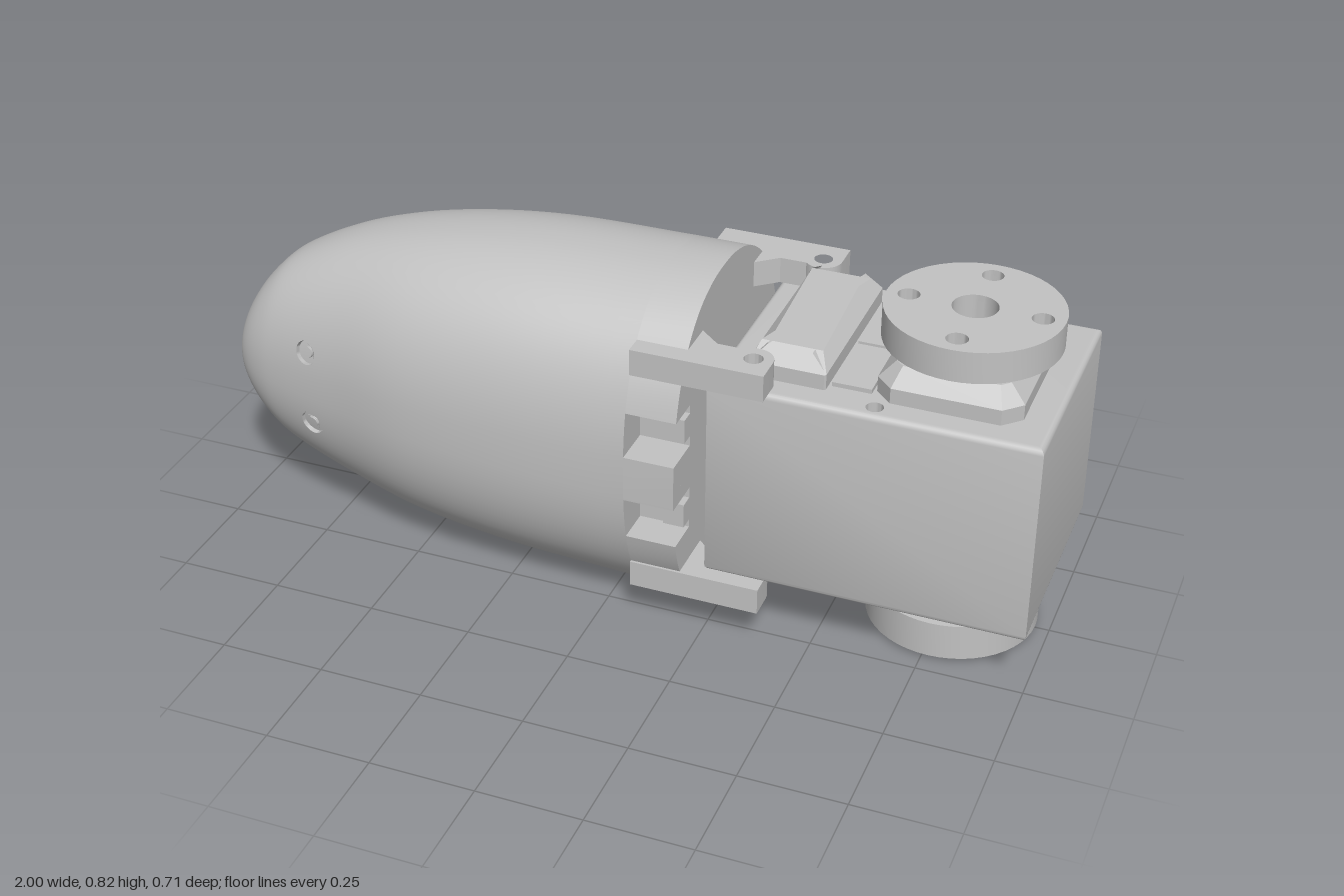
import * as THREE from 'three';
import { toCreasedNormals } from 'three/addons/utils/BufferGeometryUtils.js';

const YC = 0.4125;       // height of the shell axis
const FRONT_POWER = 2.4; // squareness of the shell section, front half
const BACK_POWER = 2.05; // and back half
const PEAK = 0.54;       // where the section is tallest, from back to front
const ZC = 0.005;        // z centre of the motor and bracket

export function createModel() {
  const model = new THREE.Group();
  const grey = new THREE.MeshStandardMaterial({ color: 0xc2c2c2 });
  grey.name = 'grey';

  function add(name, geometry, x = 0, y = 0, z = 0) {
    const mesh = new THREE.Mesh(geometry, grey);
    mesh.name = name;
    mesh.position.set(x, y, z);
    model.add(mesh);
    return mesh;
  }
  function circle(x, y, r) {
    return new THREE.Path().absarc(x, y, r, 0, Math.PI * 2, true);
  }
  // Extrude a plan shape (x, -z) upwards
  function upright(shape, height) {
    const g = new THREE.ExtrudeGeometry(shape, { depth: height, bevelEnabled: false, curveSegments: 24 });
    return toCreasedNormals(g.rotateX(-Math.PI / 2), 0.6);
  }

  // Rounded shell: stations of x, back z, front z, half height
  const stations = [
    [-1, 0.11, 0.11, 0], [-0.995, 0.045, 0.163, 0.065], [-0.97, -0.025, 0.195, 0.135],
    [-0.92, -0.1, 0.222, 0.208], [-0.85, -0.168, 0.242, 0.265], [-0.7, -0.255, 0.275, 0.328],
    [-0.5, -0.325, 0.322, 0.374], [-0.25, -0.357, 0.345, 0.402], [0.08, -0.353, 0.353, 0.412],
  ];
  const xs = new THREE.CatmullRomCurve3(stations.map(s => new THREE.Vector3(s[0], 0, 0)), false, 'catmullrom', 0.5);
  const sizes = new THREE.CatmullRomCurve3(stations.map(s => new THREE.Vector3(s[1], s[2], s[3])), false, 'catmullrom', 0.5);
  const around = 80, rings = 48;
  const power = (v, n) => Math.sign(v) * Math.pow(Math.abs(v), 2 / n);
  function sectionPoint(j, back, front, half, frontPower) {
    const a = (j / around) * Math.PI * 2, c = Math.cos(a);
    const peak = back + PEAK * (front - back);
    const n = c > 0 ? frontPower : BACK_POWER;
    return [peak + (c > 0 ? front - peak : peak - back) * power(c, n), YC + half * power(Math.sin(a), n)];
  }
  const positions = [], index = [];
  for (let i = 0; i <= rings; i++) {
    const t = i / rings, x = xs.getPoint(t).x, s = sizes.getPoint(t);
    for (let j = 0; j < around; j++) {
      const [z, y] = sectionPoint(j, s.x, s.y, s.z, 2 + (FRONT_POWER - 2) * t);
      positions.push(x, y, z);
      if (i === rings) continue;
      const a = i * around + j, b = i * around + (j + 1) % around;
      index.push(a, a + around, b + around, a, b + around, b);
    }
  }
  const shell = new THREE.BufferGeometry();
  shell.setAttribute('position', new THREE.Float32BufferAttribute(positions, 3));
  shell.setIndex(index);
  shell.computeVertexNormals();
  add('shell', shell);

  // Flat inner wall of the shell
  const half = 0.412, wide = 0.353;
  const outline = [];
  for (let j = 0; j < around; j++) outline.push(sectionPoint(j, -wide, wide, half, FRONT_POWER));
  const wallShape = new THREE.Shape(outline.map(([z, y]) => new THREE.Vector2(-z, y)));
  add('shellInnerWall', new THREE.ShapeGeometry(wallShape).rotateY(Math.PI / 2), 0.08);

  // Rim of the shell, with two front notches and two screw holes
  const peakZ = (2 * PEAK - 1) * wide;
  const frontZ = y => peakZ + (wide - peakZ)
    * Math.pow(1 - Math.pow(Math.abs(y - YC) / half, FRONT_POWER), 1 / FRONT_POWER);
  const rim = outline.filter(([z, y]) => z < 0 || Math.abs(y - YC) > 0.17);
  const notch = 0.25;
  for (const [y0, y1] of [[0.25, 0.357], [0.47, 0.577]]) {
    rim.push([frontZ(y0), y0], [notch, y0], [notch, y1], [frontZ(y1), y1]);
    if (y0 < YC) rim.push([frontZ(YC), YC]);
  }
  const rimShape = new THREE.Shape(rim.map(([z, y]) => new THREE.Vector2(-z, y)));
  for (const z of [0.297, -0.287]) rimShape.holes.push(circle(-z, YC, 0.02));
  const rimGeometry = new THREE.ExtrudeGeometry(rimShape, { depth: 0.12, bevelEnabled: false, curveSegments: 20 });
  add('shellRim', toCreasedNormals(rimGeometry.rotateY(Math.PI / 2), 0.5), 0.08);
  for (const z of [0.297, -0.287]) {
    add('screwSeat', new THREE.RingGeometry(0.02, 0.037, 28).rotateY(Math.PI / 2), 0.203, YC, z);
  }
  for (const y of [0.3, 0.525]) {
    add('notchBlock', new THREE.BoxGeometry(0.05, 0.06, 0.04), 0.175, y, 0.265);
  }

  // Screw sockets on the front of the shell, tilted to follow its surface
  const socketProfile = [[0, 0], [0.014, 0], [0.014, 0.008], [0.022, 0.008], [0.024, 0.012], [0.03, 0.012], [0.03, -0.02]];
  for (const [y, tilt] of [[0.32, 0.18], [0.51, -0.18]]) {
    const socket = new THREE.LatheGeometry(socketProfile.map(p => new THREE.Vector2(...p)), 28);
    const mesh = add('screwSocket', toCreasedNormals(socket.rotateX(Math.PI / 2), 0.5), -0.755, y, 0.254);
    mesh.rotation.set(tilt, -0.24, 0);
  }

  // Four bracket arms joining the shell to the motor, and the back plate between two of them
  for (const side of [1, -1]) {
    const corners = [[0.08, 0.309], [0.39, 0.309], [0.39, 0.245]];
    for (let k = 1; k <= 12; k++) {
      const a = (k / 12) * Math.PI * 0.75;
      corners.push([0.345 + 0.045 * Math.cos(a), 0.245 - 0.045 * Math.sin(a)]);
    }
    corners.push([0.25, 0.213], [0.2, 0.17], [0.08, 0.17]);
    const arm = new THREE.Shape(corners.map(([x, z]) => new THREE.Vector2(x, -side * z)));
    arm.holes.push(circle(0.345, -side * 0.245, 0.022));
    for (const y of [0.099, 0.663]) add('bracketArm', upright(arm, 0.064), 0, y, ZC);
  }
  add('bracketBackPlate', new THREE.BoxGeometry(0.119, 0.6, 0.05), 0.1395, YC, -0.279);

  // Motor case with softened edges and four through holes
  const bevel = 0.015, x0 = 0.25 + bevel, x1 = 1 - bevel, zh = 0.277 - bevel;
  const plan = new THREE.Shape([[x0, -zh], [x1, -zh], [x1, zh], [x0, zh]].map(p => new THREE.Vector2(...p)));
  const drill = [[0.345, -0.24], [0.345, 0.24], [0.62, -0.24], [0.62, 0.24]];
  for (const [x, z] of drill) plan.holes.push(circle(x, z, 0.02));
  const bodyGeometry = new THREE.ExtrudeGeometry(plan, {
    depth: 0.5 - 2 * bevel, bevelThickness: bevel, bevelSize: bevel, bevelSegments: 4, curveSegments: 20,
  });
  // Keep the drilled holes straight
  const p = bodyGeometry.attributes.position;
  for (let i = 0; i < p.count; i++) {
    for (const [x, z] of drill) {
      const dx = p.getX(i) - x, dz = p.getY(i) - z, d = Math.hypot(dx, dz);
      if (d < 0.035) p.setXY(i, x + dx / d * 0.02, z + dz / d * 0.02);
    }
  }
  bodyGeometry.rotateX(-Math.PI / 2);
  add('motorCase', toCreasedNormals(bodyGeometry, 0.6), 0, 0.163 + bevel, ZC);

  // Blocks on the case with a chamfered top and cut corners
  function chamferedBlock(name, xa, xb, mid, top, inset, cut) {
    const w = (xb - xa) / 2, d = 0.213, base = 0.65;
    const shape = new THREE.Shape([
      [w, -d + cut], [w, d - cut], [w - cut, d], [cut - w, d],
      [-w, d - cut], [-w, cut - d], [cut - w, -d], [w - cut, -d],
    ].map(c => new THREE.Vector2(...c)));
    const block = new THREE.ExtrudeGeometry(shape, {
      depth: mid - base, bevelThickness: top - mid, bevelSize: inset, bevelOffset: -inset, bevelSegments: 1,
    });
    add(name, toCreasedNormals(block.rotateX(-Math.PI / 2), 0.3), (xa + xb) / 2, base, ZC);
  }
  chamferedBlock('connectorBlock', 0.32, 0.5, 0.7, 0.738, 0.038, 0.004);
  chamferedBlock('gearBlock', 0.605, 0.93, 0.7, 0.74, 0.036, 0.04);
  for (const z of [-0.085, 0.105]) {
    add('ridgePlate', new THREE.BoxGeometry(0.09, 0.015, 0.18), 0.553, 0.666, z);
  }

  // Round output discs above and below, each with a bolt circle
  const disc = new THREE.Shape().absarc(0, 0, 0.201, 0, Math.PI * 2, false);
  disc.holes.push(circle(0, 0, 0.052));
  for (let k = 0; k < 4; k++) {
    const a = k * Math.PI / 2;
    disc.holes.push(circle(0.15 * Math.cos(a), 0.15 * Math.sin(a), 0.025));
  }
  add('topDisc', upright(disc, 0.076), 0.767, 0.74, ZC);
  add('bottomDisc', upright(disc, 0.09), 0.767, 0.01, ZC);
  add('bottomShaft', new THREE.CylinderGeometry(0.068, 0.068, 0.07, 32), 0.767, 0.132, ZC);

  return model;
}
